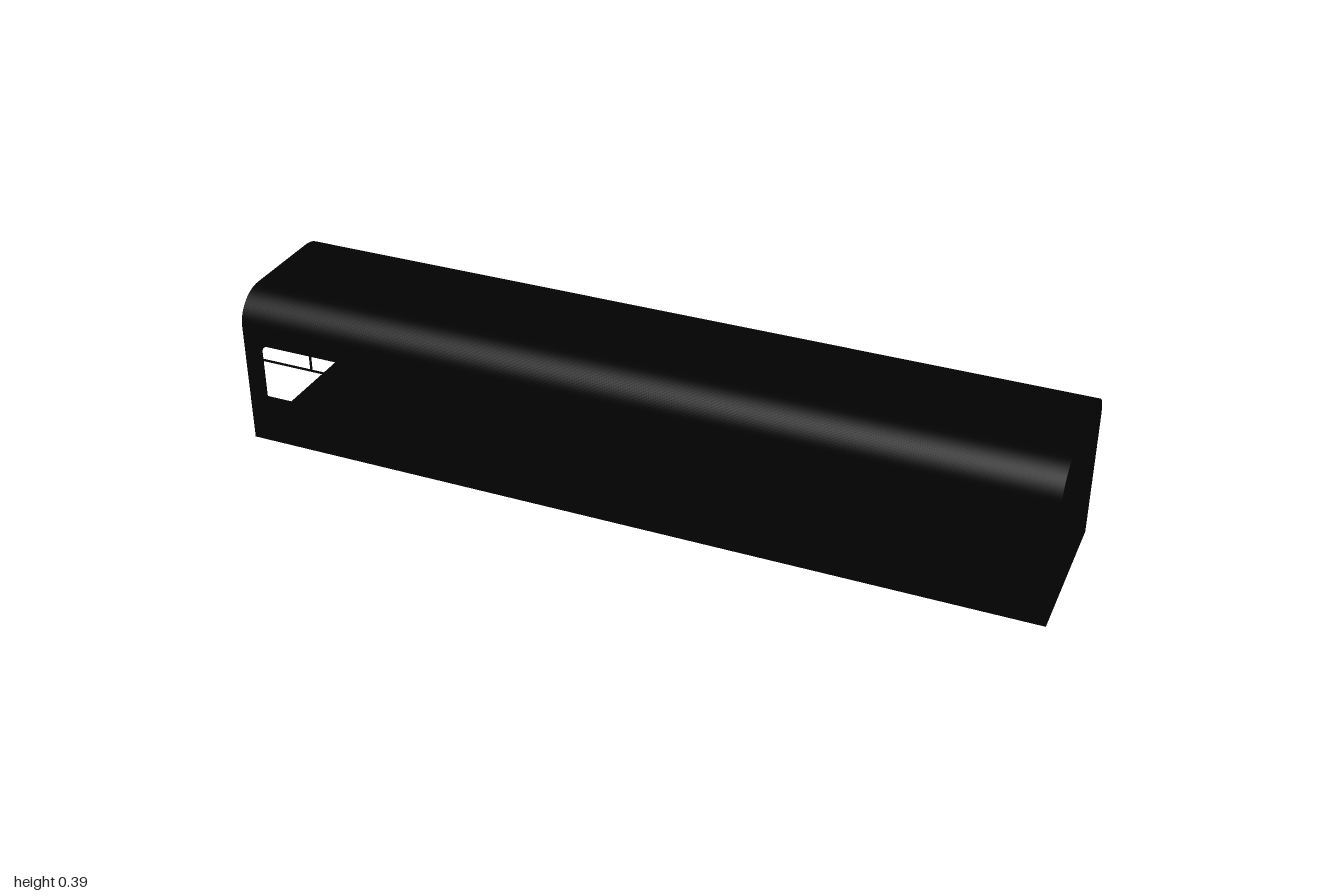
import * as THREE from 'three';

const LENGTH = 2, HALF_W = 0.196, HEIGHT = 0.394, EAVE = 0.312, FLAT = 0.109;
const WALL = 0.005, ROOF = 0.006;
const WIN = { first: -0.816, pitch: 0.3925, count: 5, w: 0.274, y0: 0.126, y1: 0.27, r: 0.02, rail: 0.23 };

export function createModel() {
  const group = new THREE.Group();
  const material = new THREE.MeshStandardMaterial({ color: 0x020202 });

  const add = (name, geometry, parent = group) => {
    const mesh = new THREE.Mesh(geometry, material);
    mesh.name = name;
    parent.add(mesh);
    return mesh;
  };
  const windowXs = Array.from({ length: WIN.count }, (_, i) => WIN.first + i * WIN.pitch);

  // Window opening: square sill, rounded upper corners
  const opening = (cx) => {
    const a = cx - WIN.w / 2, b = cx + WIN.w / 2, { y0, y1, r } = WIN;
    const p = new THREE.Path();
    p.moveTo(a, y0);
    p.lineTo(b, y0);
    p.lineTo(b, y1 - r);
    p.absarc(b - r, y1 - r, r, 0, Math.PI / 2);
    p.lineTo(a + r, y1);
    p.absarc(a + r, y1 - r, r, Math.PI / 2, Math.PI);
    p.closePath();
    return p;
  };

  // Side walls with window openings and thin transom bars
  const wallShape = new THREE.Shape([
    new THREE.Vector2(-LENGTH / 2, 0), new THREE.Vector2(LENGTH / 2, 0),
    new THREE.Vector2(LENGTH / 2, EAVE), new THREE.Vector2(-LENGTH / 2, EAVE),
  ]);
  wallShape.holes = windowXs.map(opening);
  const wallGeometry = new THREE.ExtrudeGeometry(wallShape, { depth: WALL, bevelEnabled: false, curveSegments: 6 });
  const railGeometry = new THREE.BoxGeometry(WIN.w, 0.004, 0.004);
  const postGeometry = new THREE.BoxGeometry(0.004, WIN.y1 - WIN.rail, 0.004);

  for (const [side, name] of [[1, 'front'], [-1, 'back']]) {
    const wall = add(`${name}Wall`, wallGeometry);
    wall.position.z = side > 0 ? HALF_W - WALL : -HALF_W;
    const bars = new THREE.Group();
    bars.name = `${name}WindowBars`;
    bars.position.z = side * (HALF_W - 0.002);
    for (const x of windowXs) {
      add('windowRail', railGeometry, bars).position.set(x, WIN.rail, 0);
      add('windowPost', postGeometry, bars).position.set(x, (WIN.rail + WIN.y1) / 2, 0);
    }
    group.add(bars);
  }

  // Roof: flat crown with rounded shoulders, extruded along the body
  const rx = HALF_W - FLAT, ry = HEIGHT - EAVE, q = Math.PI / 2;
  const roof = new THREE.Shape();
  roof.moveTo(HALF_W, EAVE);
  roof.absellipse(FLAT, EAVE, rx, ry, 0, q, false);
  roof.lineTo(-FLAT, HEIGHT);
  roof.absellipse(-FLAT, EAVE, rx, ry, q, 2 * q, false);
  roof.lineTo(-HALF_W + WALL, EAVE);
  roof.absellipse(-FLAT, EAVE, rx - WALL, ry - ROOF, 2 * q, q, true);
  roof.lineTo(FLAT, HEIGHT - ROOF);
  roof.absellipse(FLAT, EAVE, rx - WALL, ry - ROOF, q, 0, true);
  roof.closePath();
  const roofGeometry = new THREE.ExtrudeGeometry(roof, { depth: LENGTH, bevelEnabled: false, curveSegments: 20 });
  roofGeometry.translate(0, 0, -LENGTH / 2).rotateY(Math.PI / 2);
  add('roof', roofGeometry);

  // Floor slab between the walls; both ends stay open
  add('floor', new THREE.BoxGeometry(LENGTH, 0.009, 2 * (HALF_W - WALL))).position.y = 0.0045;

  return group;
}
